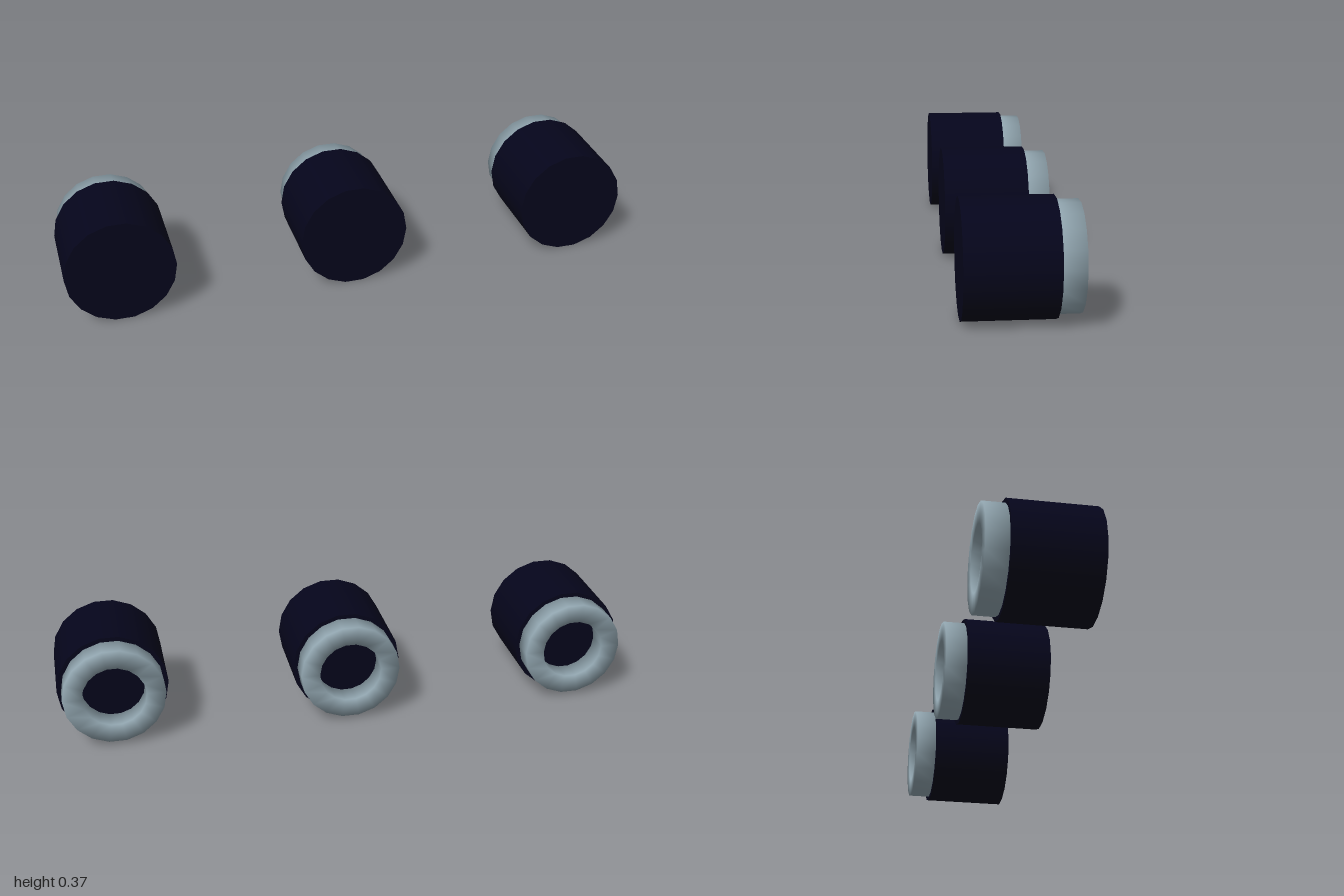
import * as THREE from 'three';

const navy = new THREE.MeshStandardMaterial({ color: 0x05051b });
navy.name = 'dark navy';
const grey = new THREE.MeshStandardMaterial({ color: 0x90a4ae });
grey.name = 'blue grey';

const SIDES = 18;
const CENTRE_Y = 0.186;
const BODY_BACK = -0.108, BODY_FRONT = 0.182;
const RING_BACK = -0.182, RING_FRONT = -0.106;

// Closed drum lying along z, with a flat facet at the top and bottom
function makeBody() {
  const length = BODY_FRONT - BODY_BACK;
  const geometry = new THREE.CylinderGeometry(0.1888, 0.1888, length, SIDES);
  geometry.rotateY(Math.PI / 2);
  geometry.rotateX(Math.PI / 2);
  geometry.translate(0, 0, (BODY_FRONT + BODY_BACK) / 2);
  const body = new THREE.Mesh(geometry, navy);
  body.name = 'drumBody';
  return body;
}

// Square-section ring with normals smoothed around its four corners
function makeRing() {
  const outer = 0.174, inner = 0.108;
  const corners = [[outer, RING_FRONT], [outer, RING_BACK], [inner, RING_BACK], [inner, RING_FRONT]];
  const positions = [], indices = [];
  for (let i = 0; i < SIDES; i++) {
    const angle = (i / SIDES) * Math.PI * 2;
    const next = ((i + 1) % SIDES) * 4;
    corners.forEach(([r, z], k) => {
      positions.push(r * Math.cos(angle), r * Math.sin(angle), z);
      const a = i * 4 + k, b = i * 4 + (k + 1) % 4;
      const c = next + k, d = next + (k + 1) % 4;
      indices.push(a, b, c, b, d, c);
    });
  }
  const geometry = new THREE.BufferGeometry();
  geometry.setAttribute('position', new THREE.Float32BufferAttribute(positions, 3));
  geometry.setIndex(indices);
  geometry.computeVertexNormals();
  const ring = new THREE.Mesh(geometry, grey);
  ring.name = 'backRing';
  return ring;
}

export function createModel() {
  const model = new THREE.Group();
  model.name = 'threeDrums';
  ['rightDrum', 'middleDrum', 'leftDrum'].forEach((name, i) => {
    const drum = new THREE.Group();
    drum.name = name;
    drum.add(makeBody(), makeRing());
    drum.position.set((i - 1) * 0.8112, CENTRE_Y, 0);
    model.add(drum);
  });
  return model;
}
